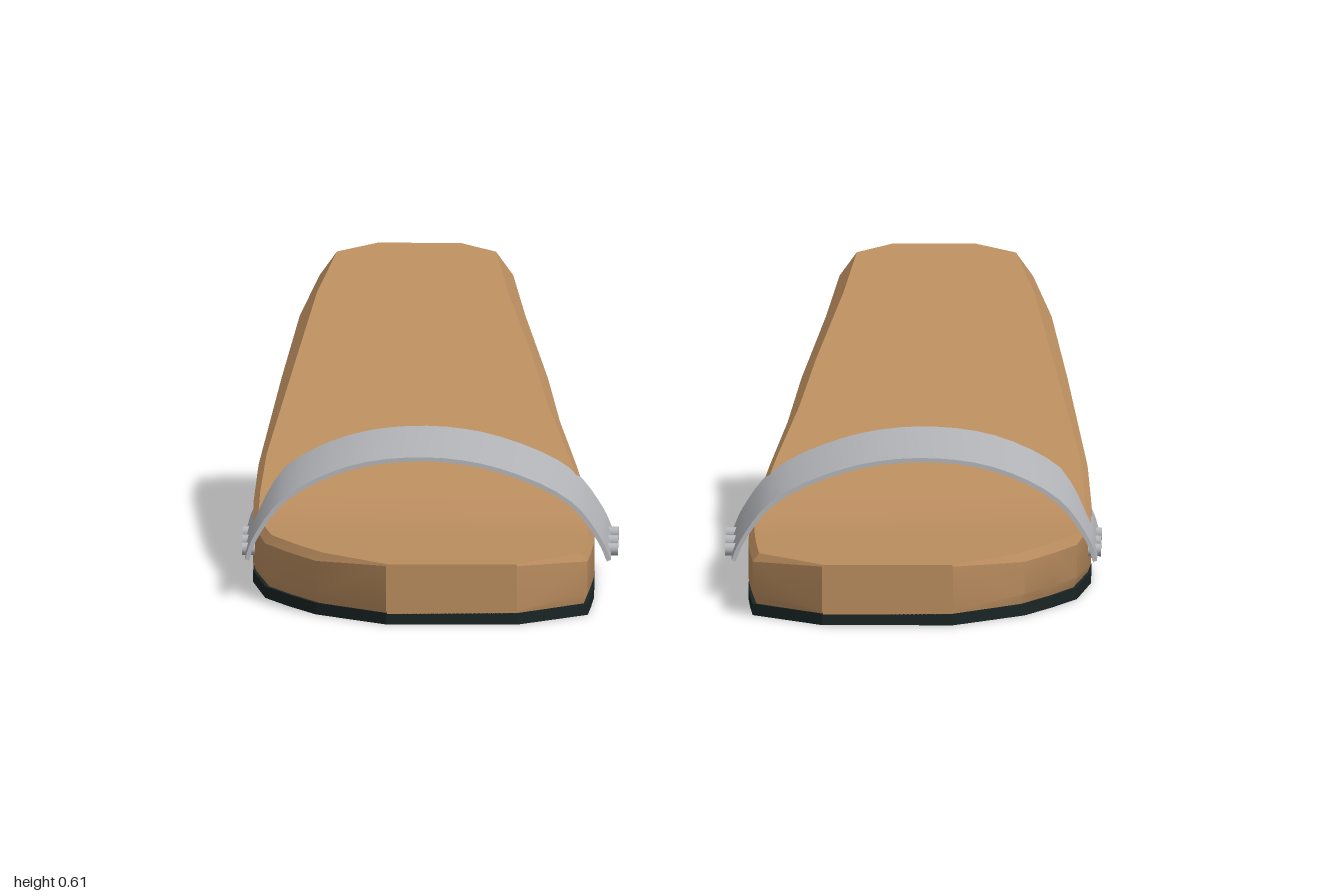
import * as THREE from 'three';
import { toCreasedNormals } from 'three/addons/utils/BufferGeometryUtils.js';

const material = (name, color, side = THREE.FrontSide) => {
  const m = new THREE.MeshStandardMaterial({ color, side });
  m.name = name;
  return m;
};

// Footbed sections: z, inner x, outer x, top y, bevel drop, lower undercut y
const sections = [
  [-0.885, 0.50, 0.70, 0.613, 0.005, 0.04],
  [-0.85, 0.38, 0.83, 0.598, 0.055, 0.04],
  [-0.68, 0.35, 0.875, 0.53, 0.055, 0.08],
  [-0.4, 0.295, 0.915, 0.418, 0.045, 0.065],
  [-0.2, 0.265, 0.94, 0.338, 0.035, 0.055],
  [0, 0.225, 0.965, 0.258, 0.025, 0.045],
  [0.15, 0.195, 0.975, 0.192, 0.02, 0.042],
  [0.27, 0.18, 0.975, 0.15, 0.015, 0.045],
  [0.5, 0.18, 0.945, 0.148, 0.02, 0.05],
  [0.62, 0.185, 0.89, 0.147, 0.02, 0.05],
  [0.74, 0.192, 0.825, 0.146, 0.02, 0.05],
  [0.885, 0.355, 0.66, 0.142, 0.004, 0.035],
];

// Lofted wedge body with bevelled upper edges and an undercut base
function wedgeGeometry() {
  const pos = [], index = [], n = 8;
  for (const [z, a, b, top, drop, low] of sections) {
    const inset = Math.min(0.04, drop * 0.75), under = (low - 0.03) * 0.5;
    const ring = [
      [a + under, 0.025], [b - under, 0.025], [b, low], [b, top - drop],
      [b - inset, top], [a + inset, top], [a, top - drop], [a, low],
    ];
    for (const [x, y] of ring) pos.push(x, y, z);
  }
  const last = (sections.length - 1) * n;
  for (let i = 0; i < last; i += n) {
    for (let j = 0; j < n; j++) {
      const k = (j + 1) % n;
      index.push(i + j, i + k, i + n + k, i + j, i + n + k, i + n + j);
    }
  }
  for (let j = 1; j < n - 1; j++) {
    index.push(0, j + 1, j, last, last + j, last + j + 1);
  }
  const g = new THREE.BufferGeometry();
  g.setAttribute('position', new THREE.Float32BufferAttribute(pos, 3));
  g.setIndex(index);
  return toCreasedNormals(g, 0.45);
}

// Flat outsole following the footbed outline
function soleGeometry() {
  const outline = [
    ...sections.map(([z, , b]) => new THREE.Vector2(b, -z)),
    ...[...sections].reverse().map(([z, a]) => new THREE.Vector2(a, -z)),
  ];
  return new THREE.ExtrudeGeometry(new THREE.Shape(outline), { depth: 0.027, bevelEnabled: false })
    .rotateX(-Math.PI / 2);
}

// Thin arched band across the foot
function strapGeometry() {
  const arch = new THREE.CatmullRomCurve3([
    [0.145, 0.09], [0.165, 0.135], [0.235, 0.225], [0.4, 0.302], [0.57, 0.328],
    [0.75, 0.307], [0.9, 0.232], [0.972, 0.135], [0.987, 0.09],
  ].map(([x, y]) => new THREE.Vector3(x, y, 0)));
  const outer = [], inner = [];
  for (let i = 0; i <= 32; i++) {
    const p = arch.getPoint(i / 32), t = arch.getTangent(i / 32);
    outer.push(new THREE.Vector2(p.x - t.y * 0.005, p.y + t.x * 0.005));
    inner.push(new THREE.Vector2(p.x + t.y * 0.005, p.y - t.x * 0.005));
  }
  const g = new THREE.ExtrudeGeometry(new THREE.Shape([...outer, ...inner.reverse()]),
    { depth: 0.46, bevelEnabled: false }).translate(0, 0, 0.048);
  return toCreasedNormals(g, 0.6);
}

export function createModel() {
  const tan = material('tan leather', 0xb98c5e);
  const rubber = material('dark rubber', 0x1a2424);
  const grey = material('grey strap', 0xb4b6ba, THREE.DoubleSide);
  const wedge = wedgeGeometry(), sole = soleGeometry(), strap = strapGeometry();
  const stud = new THREE.CylinderGeometry(0.015, 0.015, 0.03, 12).rotateZ(Math.PI / 2);

  const model = new THREE.Group();
  model.name = 'sandals';
  for (const side of [1, -1]) {
    const shoe = new THREE.Group();
    shoe.name = side > 0 ? 'leftSandal' : 'rightSandal';
    const add = (name, geometry, mat) => {
      const mesh = new THREE.Mesh(geometry, mat);
      mesh.name = name;
      shoe.add(mesh);
      return mesh;
    };
    add('wedgeFootbed', wedge, tan);
    add('outsole', sole, rubber);
    add('strap', strap, grey);
    // Three studs along each end of the strap
    for (const z of [0.155, 0.275, 0.39]) {
      add('innerStud', stud, grey).position.set(0.14, 0.098, z);
      add('outerStud', stud, grey).position.set(0.985, 0.098, z);
    }
    shoe.scale.x = side;
    model.add(shoe);
  }
  return model;
}
